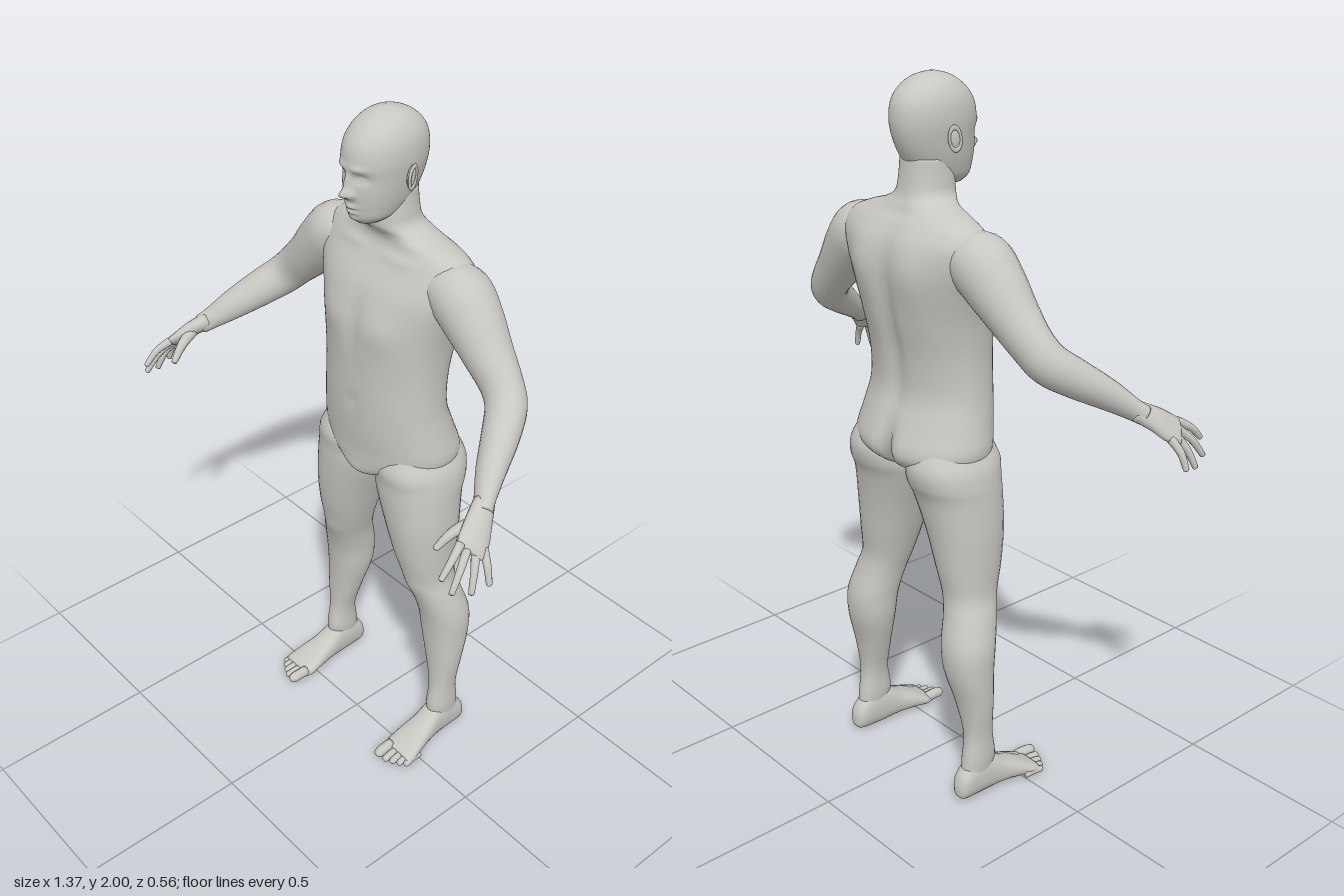
import * as THREE from 'three';

const V = (x, y, z) => new THREE.Vector3(x, y, z);
const skin = new THREE.MeshStandardMaterial({ color: 0xc9c7c2 });
skin.name = 'pale grey skin';

// Catmull-Rom resampling of a table of section rows
function smooth(rows, steps) {
  const out = [];
  const at = i => rows[Math.min(Math.max(i, 0), rows.length - 1)];
  for (let i = 0; i < rows.length - 1; i++) {
    for (let k = 0; k < steps; k++) {
      const t = k / steps, a = at(i - 1), b = at(i), c = at(i + 1), d = at(i + 2);
      out.push(b.map((_, j) => 0.5 * (2 * b[j] + (c[j] - a[j]) * t
        + (2 * a[j] - 5 * b[j] + 4 * c[j] - d[j]) * t * t
        + (3 * b[j] - a[j] - 3 * c[j] + d[j]) * t * t * t)));
    }
  }
  out.push(at(rows.length - 1));
  return out;
}

// Closed skin over a list of rings, capped at both ends and facing outwards
function loft(name, rings) {
  const n = rings[0].length, pts = rings.flat(), index = [];
  for (let i = 0; i < rings.length - 1; i++) {
    for (let j = 0; j < n; j++) {
      const a = i * n + j, b = i * n + (j + 1) % n;
      index.push(a, a + n, b, b, a + n, b + n);
    }
  }
  [0, rings.length - 1].forEach((r, end) => {
    const mid = V(0, 0, 0);
    rings[r].forEach(p => mid.addScaledVector(p, 1 / n));
    const m = pts.push(mid) - 1;
    for (let j = 0; j < n; j++) {
      const a = r * n + j, b = r * n + (j + 1) % n;
      if (end) index.push(a, m, b); else index.push(b, m, a);
    }
  });
  let volume = 0;
  const cross = V(0, 0, 0);
  for (let i = 0; i < index.length; i += 3) {
    volume += pts[index[i]].dot(cross.crossVectors(pts[index[i + 1]], pts[index[i + 2]]));
  }
  if (volume < 0) index.reverse();
  const geo = new THREE.BufferGeometry().setFromPoints(pts);
  geo.setIndex(index);
  geo.computeVertexNormals();
  const mesh = new THREE.Mesh(geo, skin);
  mesh.name = name;
  return mesh;
}

// Rows [t, x0, x1, q1, q0]: rounded sections stacked along y, or along z
function stack(name, rows, { side = 1, axis = 'y', seg = 32, steps = 5, power = 0.92, sculpt } = {}) {
  const soft = v => Math.sign(v) * Math.abs(v) ** power;
  return loft(name, smooth(rows, steps).map(([t, x0, x1, q1, q0]) =>
    Array.from({ length: seg }, (_, j) => {
      const a = j / seg * Math.PI * 2;
      const x = (x0 + x1) / 2 + (x1 - x0) / 2 * soft(Math.cos(a));
      const q = (q0 + q1) / 2 + (q1 - q0) / 2 * soft(Math.sin(a));
      const p = axis === 'y' ? V(x, t, q) : V(x, q, t);
      if (sculpt) p.z += sculpt(p.x, p.y, Math.sin(a));
      p.x *= side;
      return p;
    })));
}

// Rows [x, y, z, r along wide, r across]: elliptical sections along a bent path
function limb(name, rows, side, wide, seg = 12, steps = 4) {
  const s = smooth(rows, steps), at = i => V(...s[Math.min(Math.max(i, 0), s.length - 1)].slice(0, 3));
  return loft(name, s.map(([x, y, z, rv, ru], i) => {
    const d = at(i + 1).sub(at(i - 1)).normalize();
    const v = wide.clone().addScaledVector(d, -wide.dot(d)).normalize();
    const u = V(0, 0, 0).crossVectors(d, v);
    return Array.from({ length: seg }, (_, j) => {
      const a = j / seg * Math.PI * 2;
      const p = V(x, y, z).addScaledVector(v, rv * Math.cos(a)).addScaledVector(u, ru * Math.sin(a));
      p.x *= side;
      return p;
    });
  }));
}

// Finger or toe with a rounded tip
function digit(name, base, mid, tip, r0, r1, side) {
  const end = tip.clone().sub(mid).normalize();
  const row = (p, r) => [p.x, p.y, p.z, r, r];
  return limb(name, [row(base, r0), row(mid, (r0 + r1) / 2), row(tip.clone().addScaledVector(end, -r1), r1),
    row(tip.clone().addScaledVector(end, -r1 * 0.3), r1 * 0.7), row(tip, r1 * 0.1)], side, V(0.6, -0.4, -0.7), 10, 3);
}

// Soft bump, mirrored in x
const bump = (x, y, cx, cy, sx, sy) =>
  Math.exp(-(((Math.abs(x) - cx) / sx) ** 2) - ((y - cy) / sy) ** 2);

function torsoShape(x, y, f) {
  if (f > 0) { // chest, breastbone, navel
    return f * (0.01 * bump(x, y, 0.09, 1.43, 0.06, 0.05) - 0.008 * bump(x, y, 0, 1.43, 0.015, 0.09)
      - 0.01 * bump(x, y, 0, 1.19, 0.012, 0.012) + 0.005 * bump(x, y, 0.09, 1.62, 0.06, 0.012));
  }
  // spine, cleft, shoulder blades
  return -f * (0.018 * bump(x, y, 0, 1.36, 0.03, 0.23) + 0.05 * bump(x, y, 0, 1.0, 0.02, 0.065)
    - 0.012 * bump(x, y, 0.1, 1.52, 0.05, 0.08));
}

function faceShape(x, y, f) {
  if (f < 0) return 0;
  return 0.03 * bump(x, y, 0, 1.806, 0.012, 0.014) + 0.016 * bump(x, y, 0, 1.835, 0.009, 0.022)
    + 0.01 * bump(x, y, 0.015, 1.802, 0.007, 0.008)
    - 0.014 * bump(x, y, 0.033, 1.848, 0.017, 0.012) + 0.007 * bump(x, y, 0.033, 1.846, 0.01, 0.006)
    + 0.006 * bump(x, y, 0.028, 1.873, 0.022, 0.008)
    + 0.009 * bump(x, y, 0, 1.768, 0.02, 0.007) + 0.008 * bump(x, y, 0, 1.753, 0.018, 0.006)
    - 0.004 * bump(x, y, 0, 1.7605, 0.022, 0.003) + 0.005 * bump(x, y, 0, 1.732, 0.02, 0.01);
}

export function createModel() {
  const model = new THREE.Group();
  model.name = 'figure';
  const even = rows => rows.map(([y, w, f, b]) => [y, -w, w, f, b]);

  model.add(stack('torsoAndNeck', even([
    [0.925, 0.035, -0.03, -0.12], [0.95, 0.085, 0.008, -0.2], [0.99, 0.195, 0.011, -0.262],
    [1.03, 0.222, 0.012, -0.278], [1.1, 0.212, 0.018, -0.255], [1.18, 0.2, 0.021, -0.23],
    [1.28, 0.197, 0.021, -0.235], [1.38, 0.206, 0.022, -0.256], [1.46, 0.225, 0.013, -0.268],
    [1.53, 0.25, -0.007, -0.27], [1.59, 0.262, -0.04, -0.258], [1.63, 0.24, -0.062, -0.235],
    [1.655, 0.185, -0.068, -0.215], [1.675, 0.12, -0.062, -0.205], [1.7, 0.08, -0.045, -0.193],
    [1.74, 0.071, -0.045, -0.185], [1.79, 0.066, -0.06, -0.18],
  ]), { seg: 72, sculpt: torsoShape }));

  model.add(stack('head', even([
    [1.715, 0.03, -0.005, -0.09], [1.735, 0.054, 0.014, -0.13], [1.765, 0.067, 0.022, -0.165],
    [1.8, 0.076, 0.027, -0.19], [1.84, 0.083, 0.028, -0.207], [1.88, 0.088, 0.031, -0.215],
    [1.92, 0.086, 0.024, -0.212], [1.95, 0.077, 0.006, -0.198], [1.975, 0.06, -0.022, -0.172],
    [1.991, 0.037, -0.052, -0.14], [2.0, 0.006, -0.088, -0.102],
  ]), { seg: 96, steps: 8, power: 0.95, sculpt: faceShape }));

  for (const side of [1, -1]) {
    const label = side > 0 ? 'left' : 'right';

    // Ear: flat shell with a raised rim
    const ear = new THREE.Group();
    ear.name = label + 'Ear';
    const shell = new THREE.Mesh(new THREE.SphereGeometry(1, 14, 10), skin);
    shell.name = 'earShell';
    shell.scale.set(0.008, 0.031, 0.017);
    const rim = new THREE.Mesh(new THREE.TorusGeometry(0.016, 0.004, 6, 20), skin);
    rim.name = 'earRim';
    rim.rotation.y = Math.PI / 2;
    rim.scale.set(1, 1.8, 1);
    rim.position.x = side * 0.005;
    ear.add(shell, rim);
    ear.position.set(side * 0.09, 1.842, -0.098);
    ear.rotation.set(-0.15, side * 0.3, 0);
    model.add(ear);

    model.add(limb(label + 'Arm', [
      [0.17, 1.575, -0.14, 0.07, 0.055], [0.235, 1.557, -0.14, 0.083, 0.085], [0.29, 1.508, -0.137, 0.078, 0.081],
      [0.35, 1.445, -0.132, 0.066, 0.068], [0.41, 1.385, -0.125, 0.054, 0.06], [0.45, 1.342, -0.105, 0.053, 0.057],
      [0.49, 1.3, -0.048, 0.048, 0.052], [0.53, 1.255, 0.02, 0.038, 0.043], [0.565, 1.215, 0.073, 0.027, 0.032],
      [0.585, 1.195, 0.1, 0.024, 0.028],
    ], side, V(0, 0, 1), 24, 5));

    // Hand with four fingers and a thumb
    const hand = new THREE.Group();
    hand.name = label + 'Hand';
    const across = V(0.41, -0.41, -0.82);
    hand.add(limb('palm', [
      [0.57, 1.21, 0.08, 0.028, 0.024], [0.597, 1.183, 0.125, 0.037, 0.022],
      [0.615, 1.16, 0.155, 0.043, 0.018], [0.628, 1.146, 0.178, 0.041, 0.013], [0.632, 1.142, 0.186, 0.034, 0.006],
    ], side, across, 18));
    const tips = [V(0.626, 1.1, 0.277), V(0.65, 1.062, 0.262), V(0.669, 1.046, 0.212), V(0.681, 1.055, 0.162)];
    tips.forEach((tip, i) => {
      const base = V(0.623, 1.15, 0.17).addScaledVector(across, -0.032 + i * 0.0213);
      const mid = base.clone().lerp(tip, 0.5).add(V(0.005, 0.007, 0.002));
      hand.add(digit('finger' + (i + 1), base, mid, tip, 0.0125, 0.008, side));
    });
    hand.add(digit('thumb', V(0.59, 1.185, 0.125), V(0.568, 1.165, 0.182), V(0.552, 1.125, 0.228), 0.019, 0.009, side));
    model.add(hand);

    // Leg, with a slight kneecap
    model.add(stack(label + 'Leg', [
      [1.06, 0.06, 0.195, -0.03, -0.235], [1.0, 0.012, 0.231, 0, -0.264], [0.95, 0.003, 0.243, -0.002, -0.26],
      [0.9, 0.012, 0.247, -0.003, -0.24], [0.8, 0.05, 0.252, -0.01, -0.222], [0.7, 0.083, 0.25, -0.025, -0.21],
      [0.62, 0.108, 0.25, -0.047, -0.2], [0.56, 0.125, 0.268, -0.064, -0.21], [0.48, 0.137, 0.288, -0.085, -0.23],
      [0.4, 0.146, 0.29, -0.095, -0.226], [0.3, 0.173, 0.286, -0.1, -0.2], [0.2, 0.2, 0.275, -0.1, -0.185],
      [0.12, 0.203, 0.274, -0.088, -0.195], [0.06, 0.21, 0.268, -0.1, -0.2],
    ], { side, sculpt: (x, y, f) => (f > 0 ? 0.007 * bump(x, y, 0.178, 0.6, 0.035, 0.04) : 0) }));

    // Foot with five toes
    const foot = new THREE.Group();
    foot.name = label + 'Foot';
    foot.add(stack('sole', [
      [-0.222, 0.228, 0.25, 0.05, 0.018], [-0.207, 0.21, 0.267, 0.085, 0.004], [-0.16, 0.203, 0.272, 0.12, 0],
      [-0.11, 0.2, 0.275, 0.118, 0], [-0.06, 0.196, 0.283, 0.085, 0.004], [-0.01, 0.19, 0.294, 0.06, 0.003],
      [0.03, 0.188, 0.302, 0.038, 0], [0.05, 0.194, 0.297, 0.028, 0.004],
    ], { side, axis: 'z', seg: 24, power: 0.85 }));
    const toes = [[0.209, 0.105, 0.0165], [0.236, 0.098, 0.0115], [0.257, 0.088, 0.011], [0.276, 0.076, 0.0105], [0.292, 0.062, 0.01]];
    toes.forEach(([x, z, r], i) => foot.add(digit('toe' + (i + 1),
      V(x, r + 0.004, z - 0.065), V(x + 0.001, r + 0.004, z - 0.035), V(x + 0.003, r, z), r, r * 0.95, side)));
    model.add(foot);
  }
  return model;
}
